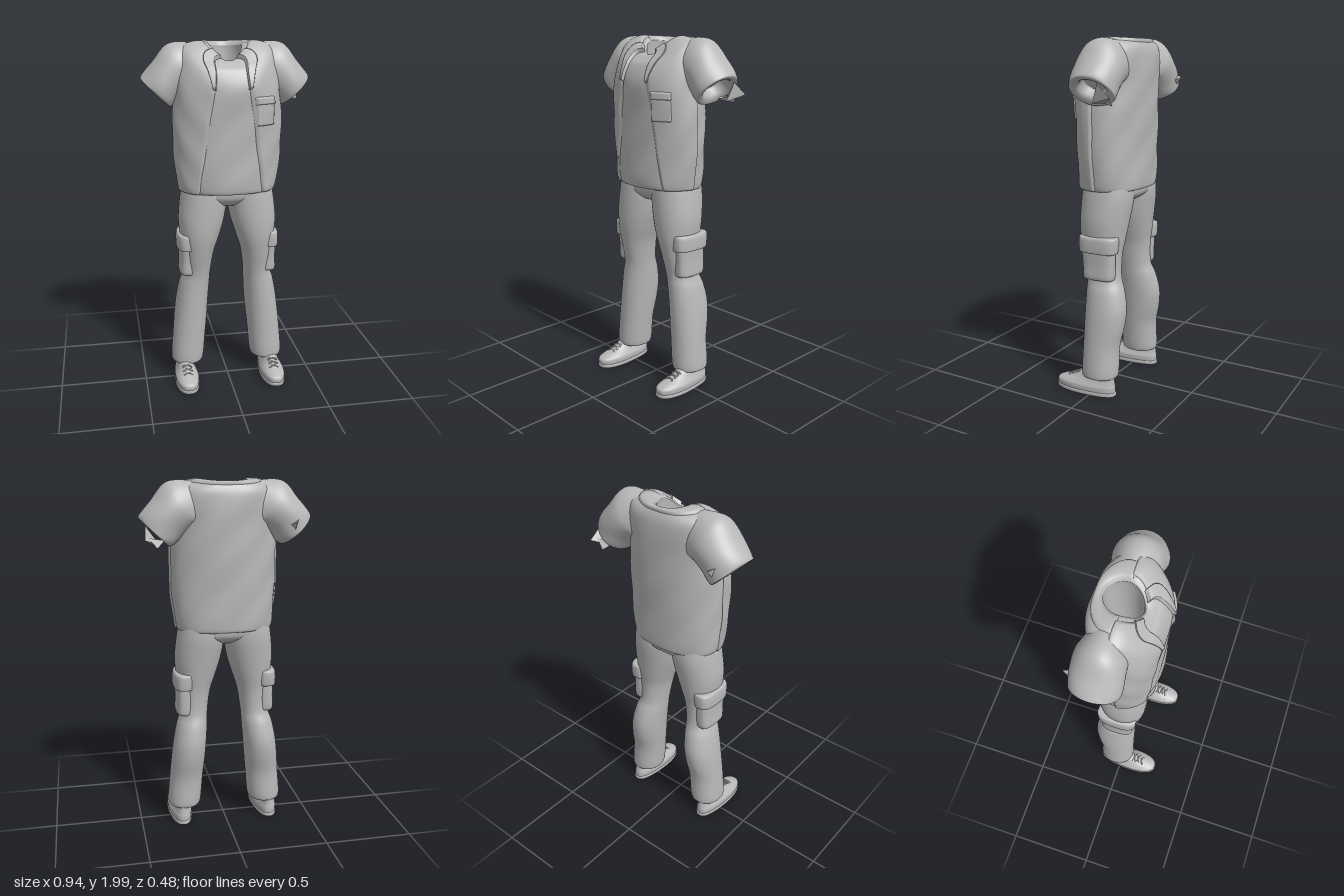
import * as THREE from 'three';

const cloth = new THREE.MeshStandardMaterial({ color: 0xb8b8b8, side: THREE.DoubleSide });
cloth.name = 'grey cloth';

// Smooth interpolation through rows of numbers, v counted in rows
function rowAt(rows, v) {
  const last = rows.length - 1;
  const i = Math.min(Math.floor(v), last - 1), t = v - i;
  const [a, b, c, d] = [i - 1, i, i + 1, i + 2].map(k => rows[Math.max(0, Math.min(last, k))]);
  return b.map((p, k) => {
    const m0 = (c[k] - a[k]) / 2, m1 = (d[k] - p) / 2, q = c[k];
    return (2 * t ** 3 - 3 * t * t + 1) * p + (t ** 3 - 2 * t * t + t) * m0 +
      (3 * t * t - 2 * t ** 3) * q + (t ** 3 - t * t) * m1;
  });
}

// Grid surface from fn(u, v); closed surfaces wrap in u and may be capped
function surface(fn, nu, nv, closed = false, capStart = false, capEnd = false) {
  const pos = [], index = [], cols = closed ? nu : nu + 1;
  for (let j = 0; j <= nv; j++)
    for (let i = 0; i < cols; i++) pos.push(...fn(i / nu, j / nv));
  for (let j = 0; j < nv; j++)
    for (let i = 0; i < nu; i++) {
      const a = j * cols + i, b = j * cols + (i + 1) % cols;
      index.push(a, a + cols, b, b, a + cols, b + cols);
    }
  const cap = (row, flip) => {
    const c = [0, 0, 0], n = pos.length / 3;
    for (let i = 0; i < cols; i++) for (let k = 0; k < 3; k++) c[k] += pos[(row * cols + i) * 3 + k] / cols;
    pos.push(...c);
    for (let i = 0; i < cols; i++) {
      const a = row * cols + i, b = row * cols + (i + 1) % cols;
      index.push(n, flip ? a : b, flip ? b : a);
    }
  };
  if (capStart) cap(0, true);
  if (capEnd) cap(nv, false);
  const g = new THREE.BufferGeometry();
  g.setAttribute('position', new THREE.Float32BufferAttribute(pos, 3));
  g.setIndex(index);
  g.computeVertexNormals();
  return g;
}

function mirrored(geometry) {
  const g = geometry.clone().scale(-1, 1, 1), ix = g.index.array;
  for (let i = 0; i < ix.length; i += 3) [ix[i], ix[i + 1]] = [ix[i + 1], ix[i]];
  g.computeVertexNormals();
  return g;
}

// Horizontal ring point. Row: [yFront, ySide, yBack, centreX, radiusX, zFront, zBack, roundness]
function ringPoint([yf, ys, yb, cx, rx, zf, zb, e], a) {
  const c = Math.cos(a), s = Math.sin(a), p = 2 / e;
  const y = ys + ((s > 0 ? yf : yb) - ys) * s * s;
  return [cx + rx * Math.sign(c) * Math.abs(c) ** p, y,
    (zf + zb) / 2 + (zf - zb) / 2 * Math.sign(s) * Math.abs(s) ** p];
}
const level = (y, x0, x1, zf, zb, e = 2.1) => [y, y, y, (x0 + x1) / 2, (x1 - x0) / 2, zf, zb, e];
const loft = (rows, steps = 6, nu = 40) => surface(
  (u, v) => ringPoint(rowAt(rows, v * (rows.length - 1)), u * Math.PI * 2),
  nu, (rows.length - 1) * steps, true, true, true);

// Shirt rings from hem to shoulders, then over the neckline and down inside
const torsoRows = [
  level(1.19, -0.24, 0.24, 0.12, -0.16, 2.2),
  level(1.172, -0.262, 0.262, 0.15, -0.193, 2.2),
  level(1.22, -0.276, 0.276, 0.163, -0.203, 2.2),
  level(1.40, -0.288, 0.292, 0.164, -0.203, 2.2),
  level(1.60, -0.292, 0.295, 0.168, -0.208, 2.2),
  level(1.75, -0.282, 0.282, 0.170, -0.212, 2.2),
  [1.84, 1.86, 1.86, 0, 0.275, 0.138, -0.213, 2.3],
  [1.875, 1.95, 1.93, 0, 0.25, 0.10, -0.205, 2.3],
  [1.89, 1.982, 1.972, 0, 0.17, 0.075, -0.18, 2.2],
  [1.89, 1.972, 1.965, 0, 0.094, 0.055, -0.15, 2],
  [1.85, 1.91, 1.90, 0, 0.088, 0.045, -0.145, 2],
  level(1.55, -0.08, 0.08, 0.04, -0.12, 2),
];
function torsoPoint(v, a, offset = 0) {
  const p = ringPoint(rowAt(torsoRows, v), a);
  // soft folds in the cloth
  const fold = v > 1 && v < 8 ? 0.004 * Math.sin(5 * a + 8 * p[1]) * Math.sin(17 * p[1] + 2 * a) : 0;
  const r = offset + fold, up = Math.max(0, Math.min(1, (v - 5) / 3));
  return [p[0] + r * Math.cos(a) * (1 - up * 0.6), p[1] + offset * up, p[2] + r * Math.sin(a) * (1 - up * 0.4)];
}

// Cloth layer over the torso; its borders sink back to the surface below
function patch(v0, v1, angles, height, base = 0, nu = 20, nv = 36) {
  return surface((u, t) => {
    const [a0, a1] = angles(t), rim = u === 0 || u === 1 || t === 0 || t === 1;
    return torsoPoint(v0 + (v1 - v0) * t, THREE.MathUtils.degToRad(a0 + (a1 - a0) * u), rim ? base : height);
  }, nu, nv);
}
const edgeRows = [[50], [54], [63], [69], [73], [75], [73], [68]];
const edge = v => rowAt(edgeRows, Math.max(0, Math.min(7, v - 1)))[0];

export function createModel() {
  const model = new THREE.Group();
  const add = (name, geometry) => {
    const m = new THREE.Mesh(geometry, cloth);
    m.name = name;
    model.add(m);
    return m;
  };
  const pair = (name, geometry) => {
    add('left ' + name, geometry);
    add('right ' + name, mirrored(geometry));
  };

  // Shirt body, open front panels, lapels and collar
  add('shirt body', surface((u, v) => torsoPoint(v * 11, u * Math.PI * 2), 96, 110, true, false, true));
  pair('front panel', patch(1.1, 8.6, t => [0, edge(1.1 + 7.5 * t)], 0.011, 0, 28, 80));
  pair('lapel', patch(5, 8.8, t => {
    const e = edge(5 + 3.8 * t);
    return [e - 2 - 24 * t, e + 1];
  }, 0.019));
  add('collar', patch(7.7, 9.1, () => [176, 364], 0.009, 0, 48, 10));
  add('chest pocket', patch(3.75, 4.65, () => [42, 67], 0.019, 0.01));
  add('chest pocket flap', patch(4.4, 4.7, () => [41, 68], 0.024, 0.01, 16, 8));

  // Short sleeves. Row: [centreX, centreY, tilt of ring, half width, half depth]
  const sleeveRows = [
    [0.16, 1.84, 1.40, 0.145, 0.10],
    [0.245, 1.853, 1.04, 0.143, 0.127],
    [0.32, 1.79, 0.86, 0.127, 0.134],
    [0.374, 1.73, 0.76, 0.12, 0.132],
    [0.388, 1.714, 0.76, 0.108, 0.12],
    [0.376, 1.727, 0.76, 0.075, 0.085],
    [0.34, 1.765, 0.76, 0.06, 0.065],
  ];
  pair('sleeve', surface((u, v) => {
    const [x, y, tilt, w, d] = rowAt(sleeveRows, v * 6), a = u * Math.PI * 2;
    const r = 1 + 0.02 * Math.sin(3 * a + 14 * v) * Math.sin(v * Math.PI);
    return [x + Math.cos(tilt) * w * r * Math.cos(a), y + Math.sin(tilt) * w * r * Math.cos(a),
      -0.072 - d * r * Math.sin(a)];
  }, 48, 42, true, false, true));

  // Torn points behind the cuffs
  const tear = (name, tip, base) => {
    const g = surface((u, v) => base[Math.round(u * 3) % 3].map((b, k) => b + (tip[k] - b) * v), 3, 1).toNonIndexed();
    g.computeVertexNormals();
    add(name, g);
  };
  tear('left cuff tear', [0.45, 1.69, -0.222], [[0.37, 1.66, -0.15], [0.44, 1.76, -0.14], [0.42, 1.66, -0.10]]);
  tear('left cuff tear tip', [0.385, 1.645, -0.20], [[0.34, 1.68, -0.15], [0.43, 1.70, -0.19], [0.37, 1.67, -0.09]]);
  tear('right cuff tear', [-0.355, 1.77, -0.237], [[-0.31, 1.74, -0.17], [-0.39, 1.79, -0.17], [-0.36, 1.68, -0.16]]);

  // Trousers
  add('trouser seat', loft([
    level(1.09, -0.20, 0.20, 0.07, -0.10),
    level(1.13, -0.262, 0.262, 0.11, -0.16),
    level(1.18, -0.262, 0.262, 0.118, -0.172),
    level(1.24, -0.25, 0.25, 0.115, -0.17),
  ]));
  pair('trouser leg', loft([
    level(1.22, 0.00, 0.255, 0.115, -0.17),
    level(1.12, 0.00, 0.272, 0.122, -0.172),
    level(1.00, 0.02, 0.283, 0.124, -0.155),
    level(0.90, 0.05, 0.275, 0.118, -0.14),
    level(0.80, 0.082, 0.262, 0.10, -0.126),
    level(0.68, 0.10, 0.258, 0.074, -0.128),
    level(0.60, 0.105, 0.282, 0.07, -0.155),
    level(0.50, 0.112, 0.302, 0.07, -0.174),
    level(0.40, 0.120, 0.315, 0.07, -0.166),
    level(0.28, 0.132, 0.326, 0.07, -0.142),
    level(0.13, 0.146, 0.338, 0.072, -0.142),
    level(0.105, 0.16, 0.326, 0.06, -0.13),
  ].reverse()));

  // Cargo pockets on the outer thighs
  pair('thigh pocket', loft([
    level(0.678, 0.20, 0.262, 0.045, -0.10, 3),
    level(0.684, 0.19, 0.284, 0.066, -0.118, 3),
    level(0.76, 0.19, 0.282, 0.07, -0.122, 3),
    level(0.85, 0.19, 0.284, 0.08, -0.122, 3),
  ], 4));
  pair('thigh pocket flap', loft([
    level(0.832, 0.19, 0.285, 0.08, -0.128, 2.8),
    level(0.838, 0.18, 0.296, 0.09, -0.138, 2.8),
    level(0.91, 0.18, 0.294, 0.092, -0.142, 2.8),
    level(0.922, 0.19, 0.276, 0.08, -0.13, 2.8),
  ], 4));

  // Shoes with a flat sole and crossed laces
  const taper = g => {
    const p = g.attributes.position;
    for (let i = 0; i < p.count; i++) {
      const k = 0.86 + 0.14 * THREE.MathUtils.smoothstep(p.getZ(i), -0.12, 0.12);
      p.setX(i, 0.26 + (p.getX(i) - 0.26) * k);
    }
    g.computeVertexNormals();
    return g;
  };
  pair('shoe sole', taper(loft([
    level(0.0, 0.195, 0.325, 0.228, -0.134, 2.5),
    level(0.004, 0.188, 0.332, 0.236, -0.142, 2.5),
    level(0.022, 0.188, 0.332, 0.238, -0.142, 2.5),
    level(0.026, 0.196, 0.324, 0.23, -0.136, 2.5),
  ], 3)));
  pair('shoe upper', taper(loft([
    level(0.015, 0.192, 0.328, 0.232, -0.138, 2.5),
    level(0.05, 0.190, 0.330, 0.234, -0.138, 2.5),
    level(0.068, 0.198, 0.322, 0.205, -0.136, 2.4),
    level(0.088, 0.208, 0.312, 0.145, -0.134, 2.3),
    level(0.118, 0.216, 0.304, 0.08, -0.13, 2.2),
    level(0.14, 0.22, 0.30, 0.05, -0.12, 2.2),
  ])));
  for (let i = 0; i < 3; i++)
    for (const s of [-1, 1]) {
      const z = 0.092 + i * 0.024, y = 0.114 - i * 0.012;
      const path = new THREE.CatmullRomCurve3([
        new THREE.Vector3(0.232, y - 0.008, z - s * 0.01),
        new THREE.Vector3(0.26, y + 0.002, z),
        new THREE.Vector3(0.288, y - 0.008, z + s * 0.01)]);
      pair('shoe lace', new THREE.TubeGeometry(path, 8, 0.004, 6));
    }
  return model;
}
